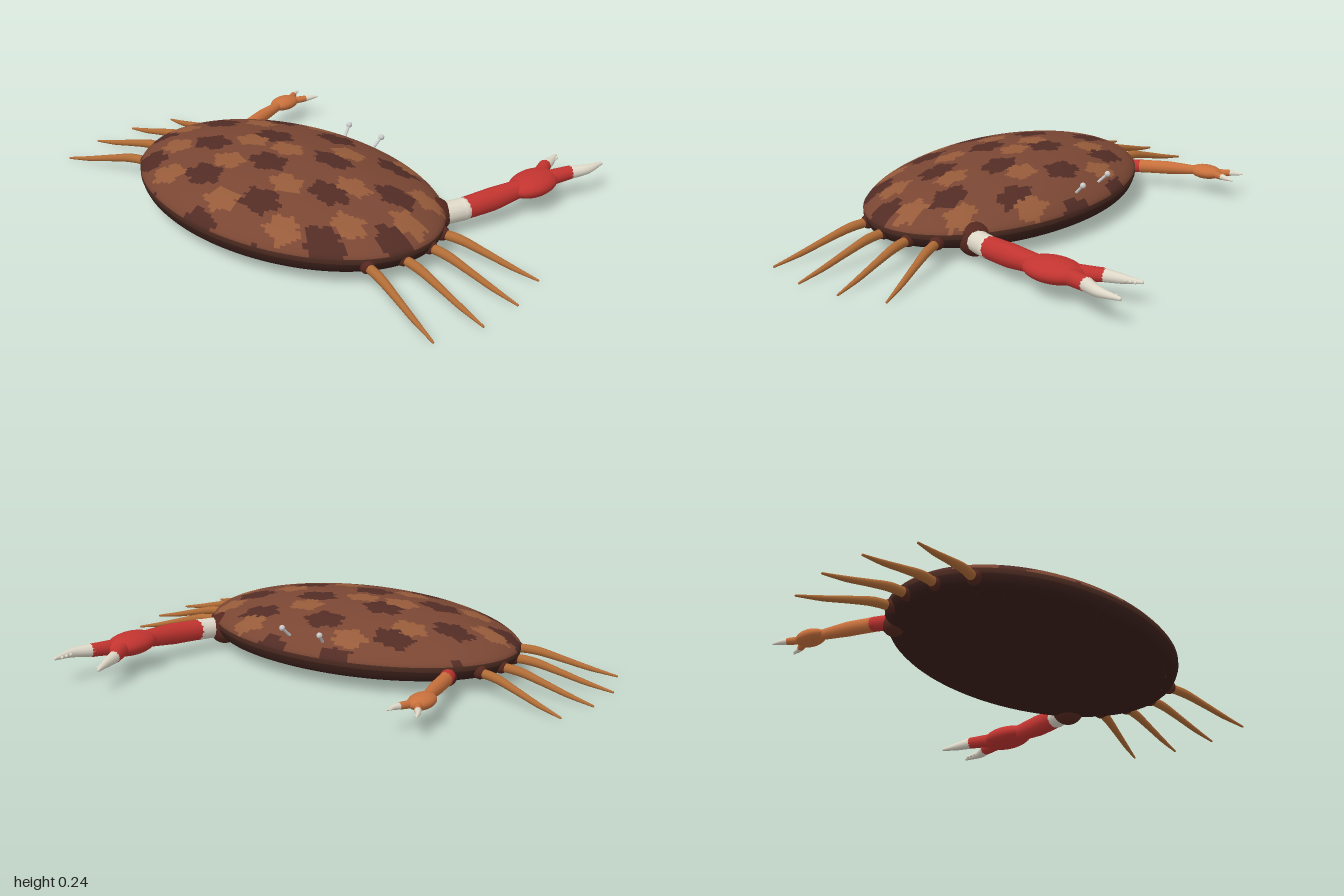
import * as THREE from 'three';

const mat = (color) => new THREE.MeshStandardMaterial({ color, roughness: 0.8, side: THREE.DoubleSide });
const M = {
  shell: mat(0x7a4633), dark: mat(0x522c25), light: mat(0x965b3a), rim: mat(0x4a2a20), under: mat(0x3a1f1a),
  joint: mat(0x55281f), red: mat(0xc23430), orange: mat(0xc8703c), leg: mat(0xb06c36), cream: mat(0xded8c8), eye: mat(0xc8c8c4),
};
const V = (p) => new THREE.Vector3(...p);

function add(parent, name, geometry, material) {
  const mesh = new THREE.Mesh(geometry, material);
  mesh.name = name;
  parent.add(mesh);
  return mesh;
}

// Smooth limb along a path whose radius follows the listed values
function limb(parent, name, points, radii, material) {
  const n = 16, sides = 12;
  const curve = new THREE.CatmullRomCurve3(points.map(V));
  const geo = new THREE.TubeGeometry(curve, n, 1, sides);
  const pos = geo.attributes.position, v = new THREE.Vector3();
  for (let i = 0; i <= n; i++) {
    const c = curve.getPointAt(i / n);
    const t = (i / n) * (radii.length - 1), k = Math.min(Math.floor(t), radii.length - 2);
    const r = THREE.MathUtils.lerp(radii[k], radii[k + 1], t - k);
    for (let j = 0; j <= sides; j++) {
      const id = i * (sides + 1) + j;
      v.fromBufferAttribute(pos, id).sub(c).multiplyScalar(r).add(c);
      pos.setXYZ(id, v.x, v.y, v.z);
    }
  }
  geo.computeBoundingSphere();
  add(parent, name, geo, material);
  ball(parent, name + 'Tip', points.at(-1), radii.at(-1), material);
}

function ball(parent, name, p, r, material, scale = [1, 1, 1]) {
  const mesh = add(parent, name, new THREE.SphereGeometry(r, 24, 16), material);
  mesh.position.set(...p);
  mesh.scale.set(...scale);
  return mesh;
}

// Ragged blotches: [x, z] centres of light ones, staggered lattice of dark ones
const LIGHT = [[-0.155, -0.07], [0.3, -0.07], [-0.32, 0.085], [0.14, 0.085], [0.51, 0.08], [-0.55, 0.28], [-0.18, 0.26],
  [-0.02, 0.235], [0.33, 0.26], [0.57, 0.25], [-0.42, 0.42], [-0.13, 0.42], [0.155, 0.41], [0.46, 0.42], [-0.29, 0.57], [0.02, 0.59], [0.3, 0.57]];
const DARK = [];
for (let row = -1; row < 5; row++)
  for (let k = -3; k <= 3; k++) DARK.push([(k + (row % 2 ? 0.5 : 0)) * 0.3, 0.35 + (row - 2) * 0.175]);

function blotch(x, z, list, rx, rz) {
  return list.some(([cx, cz], i) => {
    const dx = (x - cx) / rx, dz = (z - cz) / rz, a = Math.atan2(dz, dx);
    return Math.hypot(dx, dz) < 1 + 0.13 * Math.sin(5 * a + i * 2.1) + 0.08 * Math.sin(9 * a + i);
  });
}

function carapace(parent) {
  const profile = [[0.9, 0.045], [0.97, 0.06], [1, 0.105], [0.97, 0.127], [0.92, 0.146], [0.8, 0.175], [0.6, 0.204],
    [0.4, 0.223], [0.2, 0.235], [0, 0.237]];
  const curve = new THREE.CatmullRomCurve3(profile.map(([r, y]) => new THREE.Vector3(r, y, 0)));
  const pts = curve.getSpacedPoints(60).map((p) => new THREE.Vector2(Math.max(p.x, 0), p.y));
  const geo = new THREE.LatheGeometry(pts, 180);
  geo.scale(0.653, 1, 0.43).translate(0, 0, 0.26);

  // Sort the faces by marking, sharing one set of smooth vertices
  const sets = { shell: [], dark: [], light: [], rim: [], under: [] };
  const pos = geo.attributes.position, idx = geo.index.array;
  for (let i = 0; i < idx.length; i += 3) {
    const q = i - (i % 6), f = [idx[i], idx[i + 1], idx[i + 2]];
    const mid = (get) => (get(idx[q] ?? f[0]) + get(idx[q + 1] ?? f[1]) + get(idx[q + 2] ?? f[2])) / 3;
    const x = mid((k) => pos.getX(k)), y = mid((k) => pos.getY(k)), z = mid((k) => pos.getZ(k));
    let key = 'shell';
    if (y < 0.085) key = 'under';
    else if (y < 0.112) key = 'rim';
    else if (blotch(x, z, LIGHT, 0.066, 0.046)) key = 'light';
    else if (blotch(x, z, DARK, 0.078, 0.052)) key = 'dark';
    sets[key].push(...f);
  }
  for (const key in sets) {
    const part = new THREE.BufferGeometry();
    part.setAttribute('position', geo.attributes.position);
    part.setAttribute('normal', geo.attributes.normal);
    part.setIndex(sets[key]);
    add(parent, 'carapace_' + key, part, M[key]);
  }
  const belly = new THREE.CircleGeometry(0.9, 90).rotateX(Math.PI / 2);
  belly.scale(0.653, 1, 0.43).translate(0, 0.045, 0.26);
  add(parent, 'underside', belly, M.under);
}

// Pincer finger with a coloured root, pale tip and small inner teeth
function finger(g, name, root, mid, bend, tip, r, color, toothSide) {
  limb(g, name + 'Root', [root, mid], [r, r * 0.85], color);
  limb(g, name + 'PaleTip', [mid, bend, tip], [r * 0.85, r * 0.6, r * 0.22], M.cream);
  for (let i = 1; i < 4; i++) {
    const p = V(bend).lerp(V(tip), i / 4);
    ball(g, name + 'Tooth', [p.x + toothSide * r * 0.4, p.y, p.z], r * 0.2, M.cream);
  }
}

export function createModel() {
  const model = new THREE.Group();
  model.name = 'crab';
  carapace(model);

  // Large left claw arm
  const big = new THREE.Group();
  big.name = 'largeClawArm';
  ball(big, 'shoulder', [0.495, 0.08, 0.025], 0.062, M.joint);
  limb(big, 'upperArm', [[0.505, 0.083, 0.03], [0.546, 0.086, -0.07]], [0.04, 0.041], M.cream);
  limb(big, 'forearm', [[0.544, 0.086, -0.065], [0.58, 0.093, -0.19], [0.608, 0.1, -0.32]], [0.04, 0.042, 0.033], M.red);
  ball(big, 'palm', [0.615, 0.1, -0.385], 1, M.red, [0.073, 0.042, 0.115]);
  finger(big, 'innerFinger', [0.595, 0.1, -0.45], [0.558, 0.097, -0.535], [0.54, 0.092, -0.6], [0.52, 0.087, -0.66], 0.028, M.red, 1);
  finger(big, 'outerFinger', [0.63, 0.1, -0.45], [0.663, 0.104, -0.54], [0.697, 0.106, -0.61], [0.703, 0.104, -0.69], 0.03, M.red, -1);
  model.add(big);

  // Small right claw arm
  const small = new THREE.Group();
  small.name = 'smallClawArm';
  ball(small, 'shoulder', [-0.505, 0.072, 0.03], 0.042, M.joint);
  limb(small, 'upperArm', [[-0.515, 0.078, 0.03], [-0.54, 0.08, -0.03]], [0.027, 0.026], M.red);
  limb(small, 'forearm', [[-0.537, 0.08, -0.025], [-0.562, 0.086, -0.13], [-0.588, 0.09, -0.25]], [0.026, 0.026, 0.018], M.orange);
  ball(small, 'palm', [-0.595, 0.09, -0.292], 1, M.orange, [0.044, 0.027, 0.066]);
  finger(small, 'outerFinger', [-0.603, 0.09, -0.33], [-0.628, 0.09, -0.375], [-0.643, 0.088, -0.4], [-0.653, 0.086, -0.425], 0.015, M.orange, 1);
  finger(small, 'innerFinger', [-0.585, 0.09, -0.33], [-0.563, 0.092, -0.378], [-0.552, 0.092, -0.405], [-0.546, 0.09, -0.433], 0.015, M.orange, -1);
  model.add(small);

  // Four pairs of walking legs: root x, root z, tip x, tip z
  const legs = [[0.57, 0.115, 0.95, 0.03], [0.6, 0.21, 0.995, 0.2], [0.59, 0.325, 0.995, 0.375], [0.54, 0.44, 0.94, 0.55]];
  for (const side of [-1, 1])
    legs.forEach(([x0, z0, x1, z1], i) => {
      const at = (t, y) => [side * (x0 + (x1 - x0) * t), y, z0 + (z1 - z0) * t];
      const g = new THREE.Group();
      g.name = (side > 0 ? 'left' : 'right') + 'Leg' + (i + 1);
      ball(g, 'legJoint', at(0.08, 0.08), 0.026, M.joint);
      limb(g, 'leg', [at(0, 0.078), at(0.25, 0.075), at(0.5, 0.052), at(0.75, 0.026), at(1, 0.005)],
        [0.017, 0.017, 0.013, 0.01, 0.004], M.leg);
      model.add(g);
    });

  // Stalked eyes
  for (const side of [-1, 1]) {
    limb(model, 'eyeStalk', [[side * 0.07, 0.14, -0.1], [side * 0.082, 0.188, -0.147]], [0.006, 0.005], M.eye);
    ball(model, 'eye', [side * 0.083, 0.191, -0.15], 0.011, M.eye);
  }
  return model;
}
